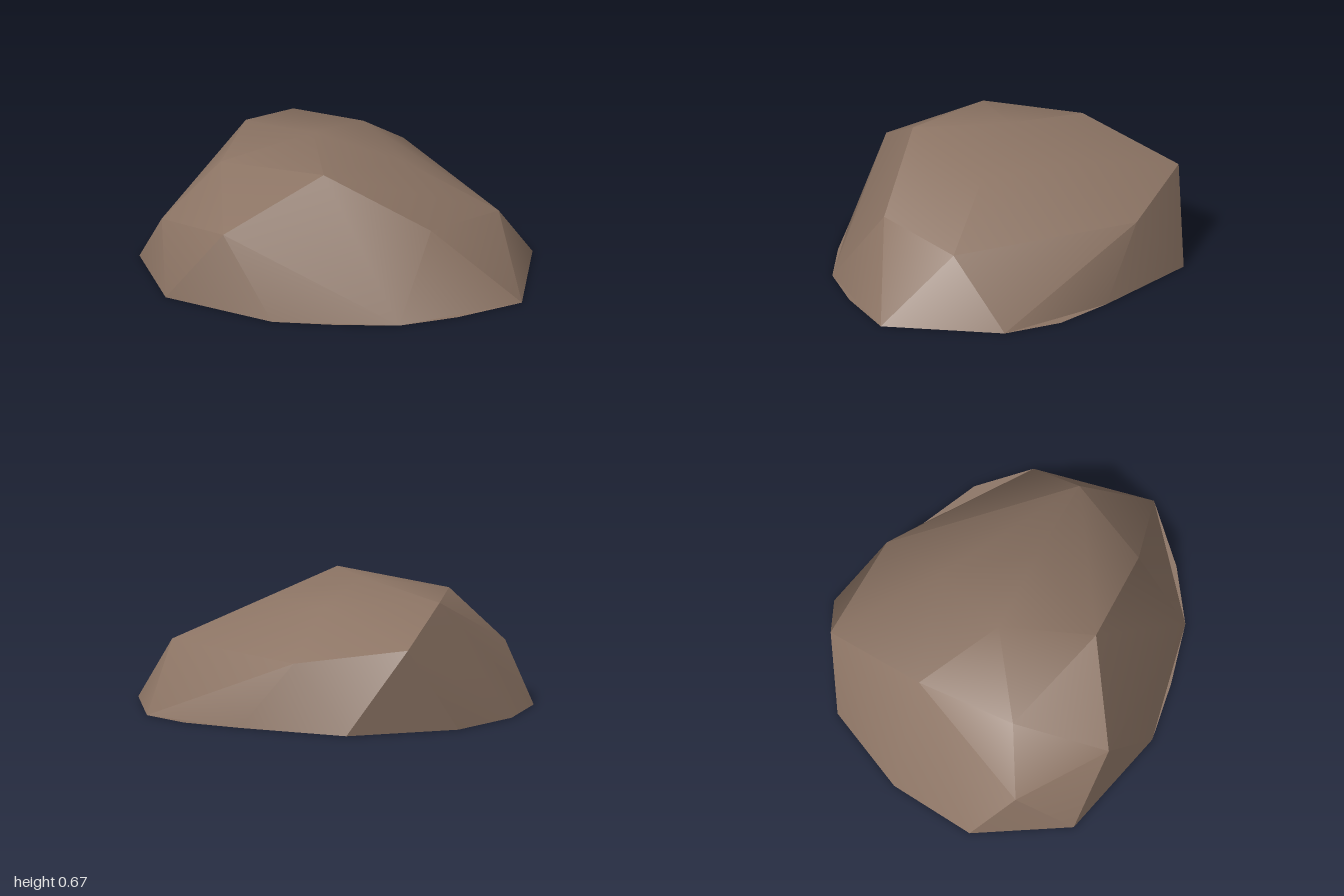
import * as THREE from 'three';
import { toCreasedNormals } from 'three/addons/utils/BufferGeometryUtils.js';
import { ConvexGeometry } from 'three/addons/geometries/ConvexGeometry.js';

// Ground outline [x, z]; a third entry marks points that only the base reaches
const outline = [
  [-0.16, -0.88], [0.40, -0.65], [0.69, -0.50, 'base'], [0.90, -0.27], [1.0, 0.35],
  [0.73, 0.60, 'base'], [0.47, 0.77], [0.15, 0.84, 'base'], [-0.16, 0.88],
  [-0.75, 0.72], [-1.0, 0.26], [-0.93, -0.19], [-0.70, -0.61],
];

// Corners of the boulder above the ground [x, y, z]
const corners = [
  [-0.46, 0.42, -0.76], [0.12, 0.34, -0.72], [0.80, 0.345, 0.03], // back and side
  [0.56, 0.40, 0.47], [-0.44, 0.40, 0.77], [-0.84, 0.30, 0.44], // shoulders
  [0.01, 0.655, 0.49], [-0.57, 0.583, -0.22], [-0.57, 0.583, 0.30], // upper rim
  [-0.16, 0.67, 0.03], [0.32, 0.56, 0.03], [0.0, 0.575, -0.37], // crown
];

// Convex shell without its underside, smooth except at sharp edges
function shellGeometry() {
  const points = corners.map((c) => new THREE.Vector3(...c));
  for (const [x, z, only] of outline) if (!only) points.push(new THREE.Vector3(x, 0, z));
  const hull = new ConvexGeometry(points).getAttribute('position');
  const kept = [];
  for (let i = 0; i < hull.count; i += 3) {
    const top = Math.max(hull.getY(i), hull.getY(i + 1), hull.getY(i + 2));
    if (top < 0.001) continue;
    for (let k = i; k < i + 3; k++) kept.push(hull.getX(k), hull.getY(k), hull.getZ(k));
  }
  const geometry = new THREE.BufferGeometry();
  geometry.setAttribute('position', new THREE.Float32BufferAttribute(kept, 3));
  return toCreasedNormals(geometry, 0.6);
}

export function createModel() {
  const group = new THREE.Group();
  group.name = 'boulder';

  const stone = new THREE.MeshStandardMaterial({ color: 0x8c7464, side: THREE.DoubleSide });
  stone.name = 'brown stone';

  const shell = new THREE.Mesh(shellGeometry(), stone);
  shell.name = 'rockShell';

  // Flat base, facing down
  const shape = new THREE.Shape(outline.map(([x, z]) => new THREE.Vector2(x, z)));
  const base = new THREE.Mesh(new THREE.ShapeGeometry(shape).rotateX(Math.PI / 2), stone);
  base.name = 'rockBase';

  group.add(shell, base);
  return group;
}
